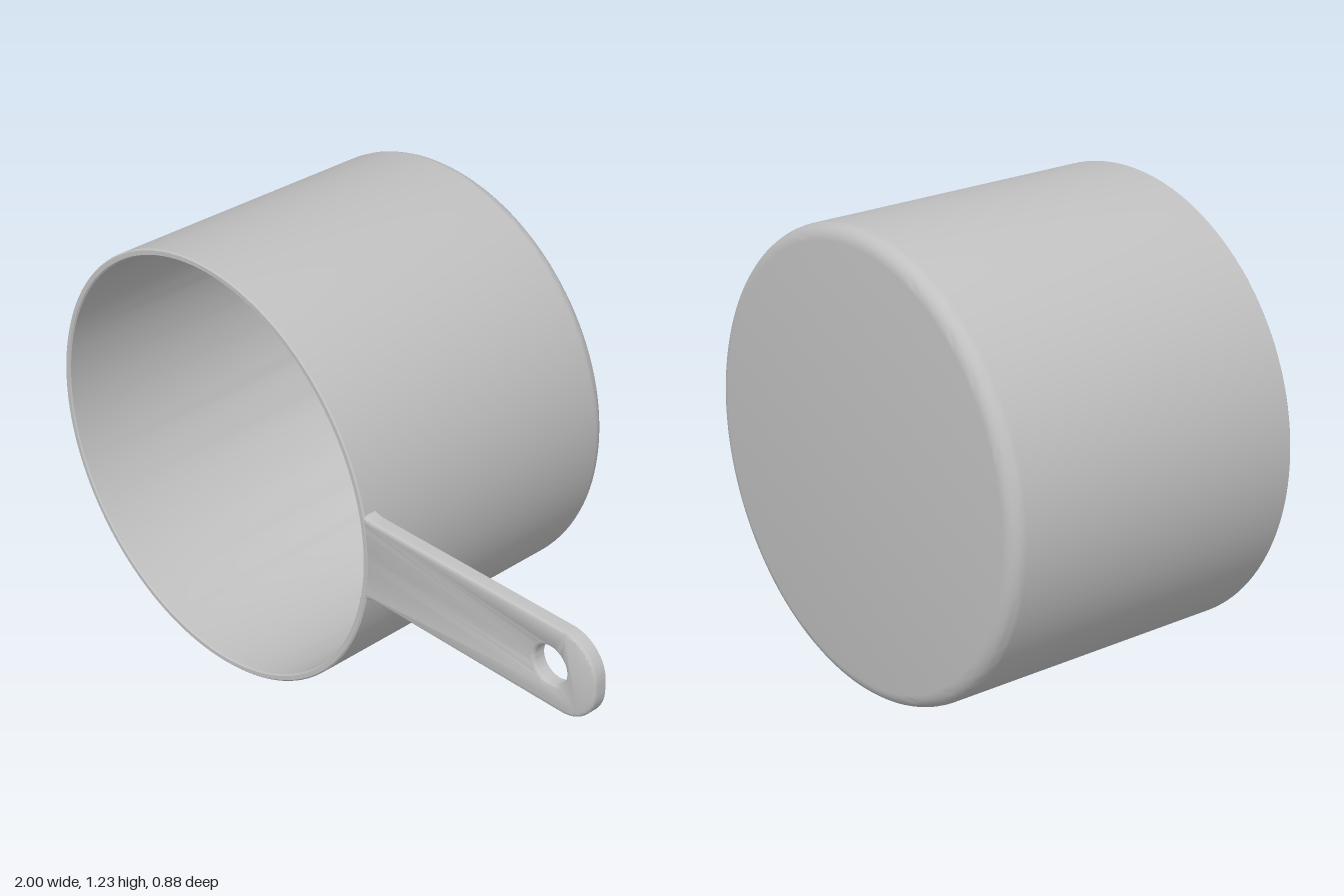
import * as THREE from 'three';
import { toCreasedNormals } from 'three/addons/utils/BufferGeometryUtils.js';

const CX = -0.385, CY = 0.617, R = 0.615, WALL = 0.02, HALF = 0.44;

// Adds a quarter circle to a lathe profile
function corner(points, x, y, r, from, to, steps = 6) {
  for (let i = 0; i <= steps; i++) {
    const a = from + (to - from) * i / steps;
    points.push(new THREE.Vector2(x + r * Math.cos(a), y + r * Math.sin(a)));
  }
}

// Hollow cup: outer wall, rim and inside in one turned profile
function cupGeometry() {
  const p = [new THREE.Vector2(0, -HALF)];
  corner(p, R - 0.04, -HALF + 0.04, 0.04, -Math.PI / 2, 0);
  p.push(new THREE.Vector2(R, HALF - 0.004), new THREE.Vector2(R - 0.004, HALF));
  p.push(new THREE.Vector2(R - WALL + 0.004, HALF), new THREE.Vector2(R - WALL, HALF - 0.004));
  corner(p, R - 0.04, -HALF + 0.04, 0.02, 0, -Math.PI / 2);
  p.push(new THREE.Vector2(0, -HALF + 0.02));
  const g = new THREE.LatheGeometry(p, 128);
  g.rotateX(Math.PI / 2);
  return toCreasedNormals(g, 0.6);
}

// Flat handle: root follows the cup wall, small fillets, rounded end, hanging hole
function handleGeometry() {
  const y = 0.622 - CY, h = 0.118, end = 1 - CX, r = 0.105, root = R - 0.016;
  const a = Math.asin(0.138 / root), ax = root * Math.cos(a), ay = root * Math.sin(a);
  const s = new THREE.Shape();
  s.moveTo(ax, -ay);
  s.quadraticCurveTo(ax + 0.025, y - h, ax + 0.06, y - h);
  s.lineTo(end - r, y - h);
  s.absarc(end - r, y - h + r, r, -Math.PI / 2, 0, false);
  s.absarc(end - r, y + h - r, r, 0, Math.PI / 2, false);
  s.lineTo(ax + 0.06, y + h);
  s.quadraticCurveTo(ax + 0.025, y + h, ax, ay);
  s.absarc(0, 0, root, a, -a, true);
  const hole = new THREE.Path();
  hole.absarc(0.855 - CX, y, 0.053, 0, Math.PI * 2, true);
  s.holes.push(hole);
  const bevel = 0.01;
  const g = new THREE.ExtrudeGeometry(s, {
    depth: 0.028, bevelEnabled: true, bevelThickness: bevel, bevelSize: bevel,
    bevelOffset: -bevel, bevelSegments: 4, curveSegments: 20,
  });
  // Flatten the back bevel so only the front edge is rounded
  const pos = g.attributes.position;
  for (let i = 0; i < pos.count; i++) pos.setZ(i, Math.max(0, pos.getZ(i)));
  g.translate(0, 0, 0.401);
  return toCreasedNormals(g, 0.6);
}

export function createModel() {
  const metal = new THREE.MeshStandardMaterial({ color: 0xc0c0c0 });
  metal.name = 'grey metal';
  const group = new THREE.Group();
  group.name = 'measuringCup';
  for (const [name, geometry] of [['cup', cupGeometry()], ['handle', handleGeometry()]]) {
    const mesh = new THREE.Mesh(geometry, metal);
    mesh.name = name;
    mesh.position.set(CX, CY, 0);
    group.add(mesh);
  }
  return group;
}
